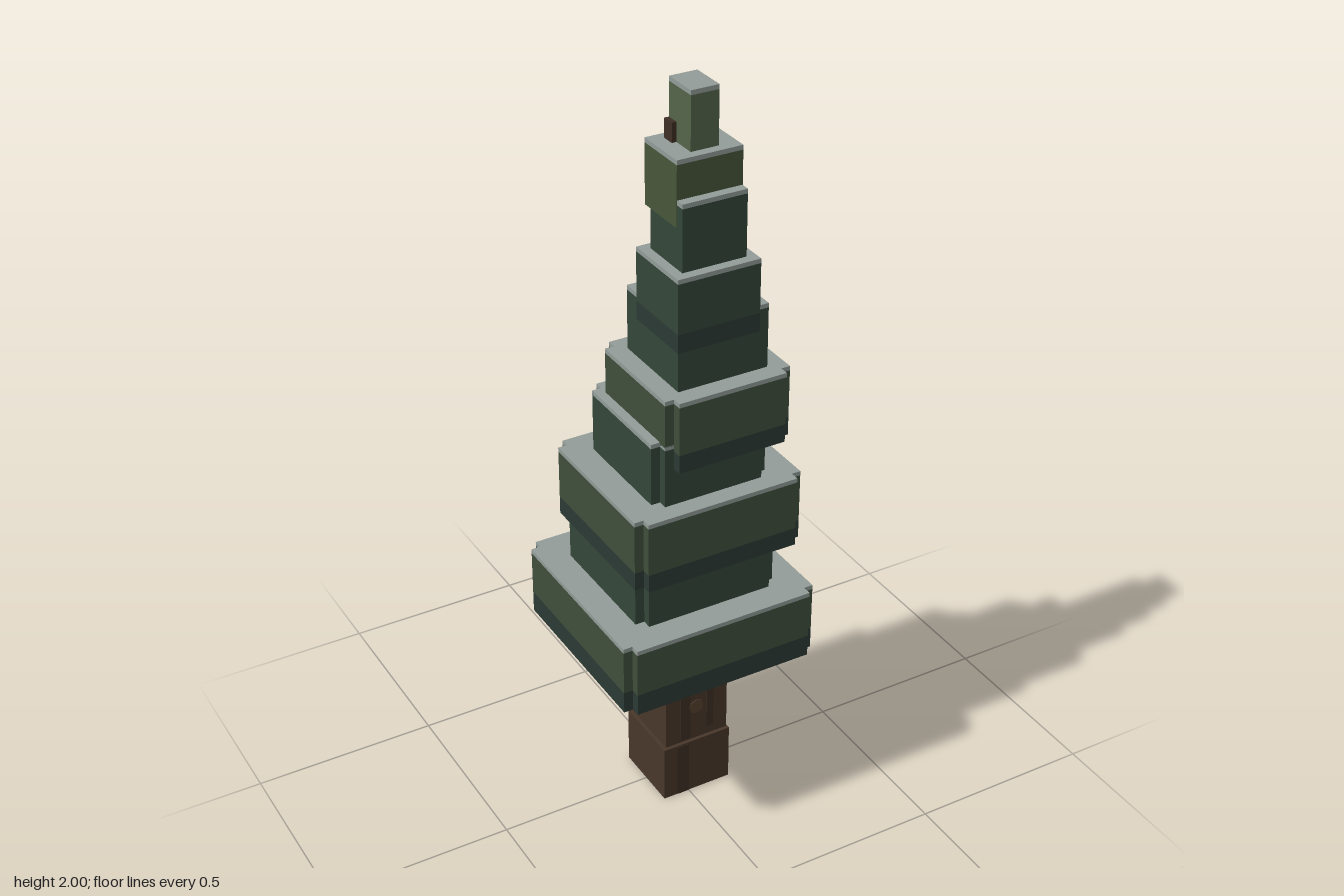
import * as THREE from 'three';

const mat = (color) => new THREE.MeshStandardMaterial({ color, flatShading: true });
const SNOW = mat(0x929c97), LEAF = mat(0x3f4f3c), DARK = mat(0x34463a), SHADE = mat(0x2b3a34);
const OLIVE = mat(0x475739), TIP = mat(0x55654a);
const BARK = mat(0x48372a), BARK_DARK = mat(0x3d2f25), KNOT = mat(0x54412f);

// Slab spanning the given ranges, with square notches n cut from its corners
function slab(name, [x0, x1], [z0, z1], [y0, y1], n, material) {
  const a = -z1, b = -z0;
  const pts = n
    ? [[x0 + n, a], [x1 - n, a], [x1 - n, a + n], [x1, a + n], [x1, b - n], [x1 - n, b - n],
      [x1 - n, b], [x0 + n, b], [x0 + n, b - n], [x0, b - n], [x0, a + n], [x0 + n, a + n]]
    : [[x0, a], [x1, a], [x1, b], [x0, b]];
  const shape = new THREE.Shape(pts.map((p) => new THREE.Vector2(...p)));
  const geo = new THREE.ExtrudeGeometry(shape, { depth: y1 - y0, bevelEnabled: false });
  geo.rotateX(-Math.PI / 2).translate(0, y0, 0);
  const mesh = new THREE.Mesh(geo, material);
  mesh.name = name;
  return mesh;
}

// Foliage tier: optional shaded skirt, body, thin snow cap
function tier(name, x, z, [y0, y1], n, material, skirt = 0) {
  const g = new THREE.Group();
  g.name = name;
  const cap = y1 - 0.012;
  if (skirt) g.add(slab('skirt', x, z, [y0, y0 + skirt], n, SHADE));
  g.add(slab('needles', x, z, [y0 + skirt, cap], n, material));
  g.add(slab('snow', x, z, [cap, y1], n, SNOW));
  return g;
}

export function createModel() {
  const tree = new THREE.Group();
  tree.name = 'snowyPine';

  // Trunk of stepped blocks
  const trunk = new THREE.Group();
  trunk.name = 'trunk';
  trunk.add(
    slab('trunkBase', [-0.075, 0.125], [-0.099, 0.1], [0, 0.165], 0, BARK),
    slab('trunkFront', [-0.065, 0.122], [-0.085, 0.09], [0.165, 0.35], 0, BARK),
    slab('trunkBack', [-0.064, 0.121], [-0.1, 0], [0.02, 0.29], 0, BARK),
    slab('trunkSide', [0, 0.12], [-0.084, 0.074], [0.3, 0.43], 0, BARK),
    slab('trunkCore', [-0.05, 0.11], [-0.085, 0.075], [0.3, 0.5], 0, BARK),
  );
  // Bark streaks and a knot, barely proud of the front
  trunk.add(
    slab('barkStreak', [-0.035, 0], [0.08, 0.1012], [0, 0.16], 0, BARK_DARK),
    slab('barkStreak', [-0.02, 0.01], [0.07, 0.0912], [0.17, 0.34], 0, BARK_DARK),
    slab('barkStreak', [0.06, 0.08], [0.07, 0.0912], [0.19, 0.33], 0, BARK_DARK),
  );
  const knot = new THREE.Mesh(new THREE.CylinderGeometry(0.022, 0.022, 0.004, 8).rotateX(Math.PI / 2), KNOT);
  knot.name = 'knot';
  knot.position.set(0.028, 0.27, 0.09);
  trunk.add(knot);
  tree.add(trunk);

  // Foliage, bottom to top; broad tiers alternate with narrower necks
  const N = 0.025;
  tree.add(
    tier('tier1', [-0.275, 0.275], [-0.275, 0.275], [0.48, 0.675], N, LEAF, 0.06),
    slab('neck1', [-0.199, 0.2], [-0.2, 0.199], [0.67, 0.785], N, DARK),
    tier('tier2', [-0.2, 0.275], [-0.25, 0.2], [0.78, 0.978], N, LEAF, 0.05),
    tier('neck2', [-0.125, 0.2], [-0.2, 0.15], [0.97, 1.15], N, DARK),
    tier('tier3', [-0.1, 0.25], [-0.175, 0.175], [1.08, 1.275], N, LEAF, 0.05),
    tier('neck3', [-0.05, 0.2], [-0.125, 0.125], [1.27, 1.45], 0, DARK),
    tier('tier4', [-0.051, 0.175], [-0.075, 0.126], [1.38, 1.575], 0, DARK, 0.05),
    tier('neck4', [-0.025, 0.15], [-0.05, 0.1], [1.57, 1.75], 0, DARK),
    tier('tier5', [-0.026, 0.151], [-0.075, 0.075], [1.68, 1.85], 0, OLIVE),
    tier('tip', [0.025, 0.1], [-0.05, 0.05], [1.845, 2], 0, TIP),
    slab('twig', [0.0125, 0.026], [-0.05, -0.015], [1.84, 1.9], 0, BARK_DARK),
  );
  return tree;
}
